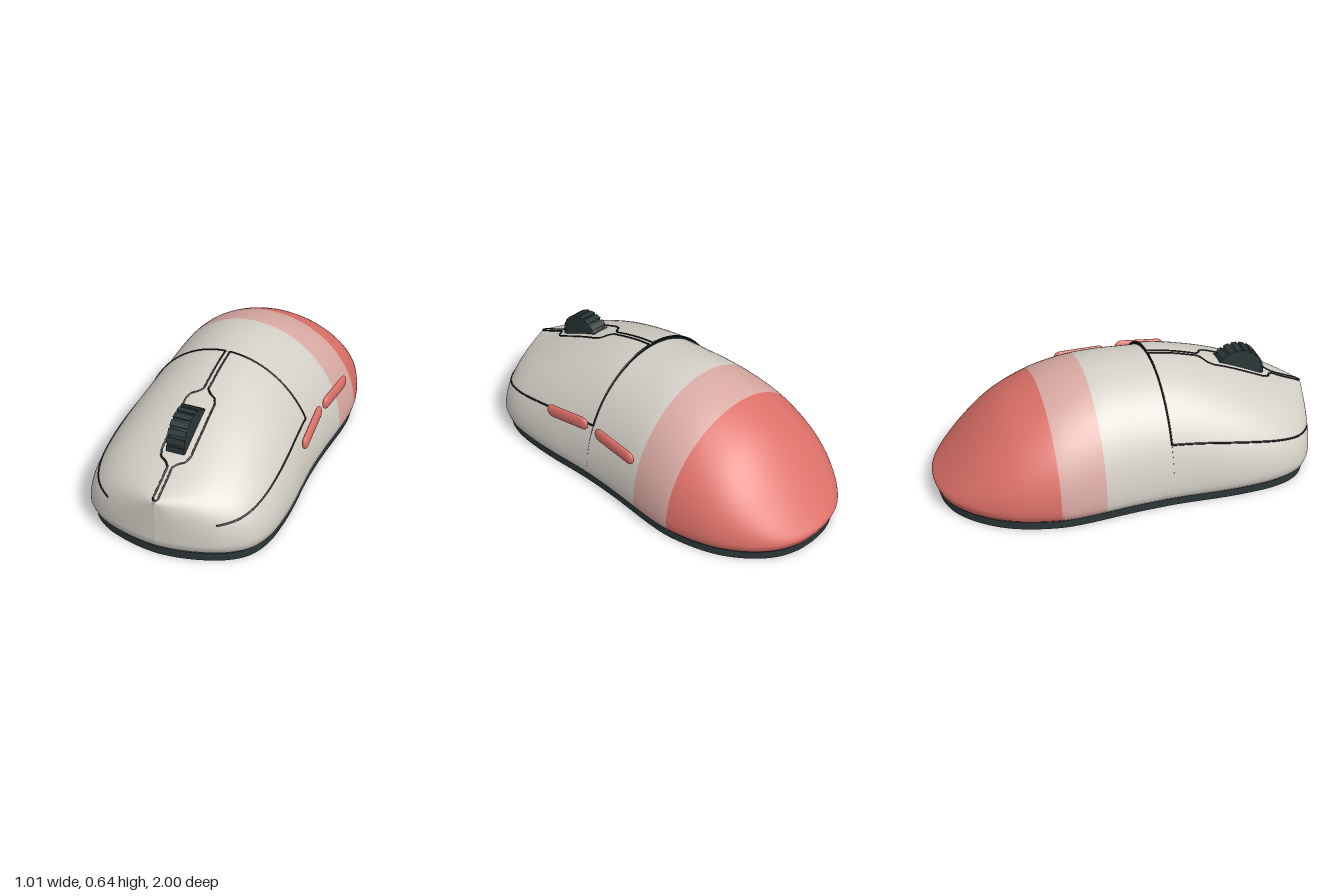
import * as THREE from 'three';

const mat = (name, color, side = THREE.FrontSide) => {
  const m = new THREE.MeshStandardMaterial({ color, side });
  m.name = name;
  return m;
};

const CX = -0.0075;   // shell centre line
const YC = 0.09;      // height of the widest point
const SPLIT = 0.13;   // where the raised button shell starts
const LIFT = 0.016;

// Stations along the length: [z, half width, top height]
const stations = [
  [-1, 0, 0.1], [-0.99, 0.1, 0.112], [-0.955, 0.2, 0.15], [-0.88, 0.3, 0.235],
  [-0.75, 0.4, 0.372], [-0.62, 0.456, 0.48], [-0.45, 0.493, 0.565], [-0.32, 0.495, 0.607],
  [-0.2, 0.487, 0.629], [-0.1, 0.48, 0.635], [0, 0.475, 0.631], [0.13, 0.473, 0.622],
  [0.25, 0.477, 0.602], [0.4, 0.486, 0.56], [0.55, 0.487, 0.507], [0.7, 0.474, 0.44],
  [0.8, 0.442, 0.392], [0.86, 0.4, 0.362], [0.92, 0.315, 0.336], [0.96, 0.21, 0.32],
  [0.985, 0.1, 0.308], [0.995, 0, 0.304]
];
const samples = new THREE.CatmullRomCurve3(stations.map(([z, w, h]) => new THREE.Vector3(w, h, z)))
  .getPoints(126);

// Half width and top height at any z
function at(z) {
  let i = 0;
  while (i < samples.length - 2 && samples[i + 1].z < z) i++;
  const a = samples[i], b = samples[i + 1];
  const t = THREE.MathUtils.clamp((z - a.z) / (b.z - a.z), 0, 1);
  return { z, w: Math.max(0, a.x + (b.x - a.x) * t), h: a.y + (b.y - a.y) * t };
}

// Cross-section: tucked lower edge, then a half ellipse from left to right
const COLS = 48;
function section({ z, w, h }, lift) {
  const pts = [[CX + w * 0.95, 0.04, z * 0.97], [CX + w * 0.985, 0.06, z * 0.99]];
  for (let j = 0; j <= COLS; j++) {
    const a = Math.PI * j / COLS;
    pts.push([CX + w * Math.cos(a), YC + (h + lift - YC) * Math.sin(a), z]);
  }
  pts.push([CX - w * 0.985, 0.06, z * 0.99], [CX - w * 0.95, 0.04, z * 0.97]);
  return pts;
}

// Skin between sections; pick(i) gives the material index of band i
function loft(sections, pick) {
  const n = sections[0].length, index = [], geo = new THREE.BufferGeometry();
  for (let i = 0; i < sections.length - 1; i++) {
    const start = index.length;
    for (let j = 0; j < n - 1; j++) {
      const a = i * n + j, c = a + n;
      index.push(a, a + 1, c, a + 1, c + 1, c);
    }
    if (pick) geo.addGroup(start, index.length - start, pick(i));
  }
  geo.setAttribute('position', new THREE.Float32BufferAttribute(sections.flat(2), 3));
  geo.setIndex(index);
  geo.computeVertexNormals();
  return geo;
}

// Sorted z values in a range, including its ends and any breaks
function zList(from, to, breaks = []) {
  const inner = samples.map(p => p.z).filter(z => z > from + 0.001 && z < to - 0.001 &&
    breaks.every(b => Math.abs(b - z) > 0.004));
  return [from, ...inner, ...breaks, to].sort((a, b) => a - b);
}

// Points on the button shell, from plan position or from side height
function onTop(x, z) {
  const { w, h } = at(z);
  const s = Math.sqrt(Math.max(0, 1 - (x / w) ** 2));
  return new THREE.Vector3(CX + x, YC + (h + LIFT - YC) * s, z);
}
function onSide(side, y, z) {
  const { w, h } = at(z);
  const s = (y - YC) / (h + LIFT - YC);
  return new THREE.Vector3(CX + side * w * Math.sqrt(Math.max(0, 1 - s * s)), y, z);
}

export function createModel() {
  const grey = mat('warm grey shell', 0xd3cfc6);
  const pink = mat('pale pink band', 0xd8a9a2);
  const coral = mat('coral', 0xdc7068);
  const dark = mat('dark base', 0x2b3738);
  const black = mat('black seam', 0x151a1b, THREE.DoubleSide);
  const group = new THREE.Group();
  const add = (name, geo, material, parent = group) => {
    const mesh = new THREE.Mesh(geo, material);
    mesh.name = name;
    parent.add(mesh);
    return mesh;
  };

  // Rear shell in three colour bands
  const rearZ = zList(-1, SPLIT, [-0.45, -0.22]);
  add('rearShell', loft(rearZ.map(z => section(at(z), 0)),
    i => rearZ[i] < -0.451 ? 0 : rearZ[i] < -0.221 ? 1 : 2), [coral, pink, grey]);

  // Raised front shell and the step behind it
  add('buttonShell', loft(zList(SPLIT, 0.995).map(z => section(at(z), LIFT))), grey);
  add('shellStep', loft([section(at(SPLIT), 0), section(at(SPLIT), LIFT)]), black);

  // Base plate following the plan outline
  const outline = [
    ...samples.map(p => new THREE.Vector2(CX + p.x * 0.957, -p.z * 0.976)),
    ...samples.slice(1, -1).reverse().map(p => new THREE.Vector2(CX - p.x * 0.957, -p.z * 0.976))
  ];
  const baseGeo = new THREE.ExtrudeGeometry(new THREE.Shape(outline), { depth: 0.042, bevelEnabled: false });
  add('basePlate', baseGeo.rotateX(-Math.PI / 2), dark);

  // Seams between the buttons and the shell
  const seam = (name, pts) => add(name, new THREE.TubeGeometry(
    new THREE.CatmullRomCurve3(pts), pts.length * 2, 0.0048, 6), black);
  const slot = [[0.012, 0.13], [0.012, 0.395], [0.03, 0.415], [0.062, 0.435], [0.075, 0.465],
    [0.077, 0.6], [0.075, 0.745], [0.062, 0.775], [0.03, 0.795], [0.012, 0.815], [0.012, 0.975], [0, 0.988]];
  const crease = new THREE.SplineCurve([[0.13, 0.345], [0.3, 0.327], [0.5, 0.297], [0.7, 0.26], [0.92, 0.215]]
    .map(p => new THREE.Vector2(...p)));
  for (const side of [1, -1]) {
    const label = side > 0 ? 'left' : 'right';
    const slotPts = [];
    slot.forEach(([x, z], k) => {
      if (k === 0) return slotPts.push(onTop(side * x, z));
      const [px, pz] = slot[k - 1], n = Math.max(2, Math.ceil((z - pz) / 0.03));
      for (let s = 1; s <= n; s++) {
        const t = s / n;
        slotPts.push(onTop(side * (px + (x - px) * t), pz + (z - pz) * t));
      }
    });
    seam(label + 'SlotSeam', slotPts);
    seam(label + 'SideSeam', crease.getPoints(40).map(p => onSide(side, p.y, p.x)));
    const { w, h } = at(SPLIT);
    const low = Math.asin((0.345 - YC) / (h + LIFT - YC)), high = Math.acos(0.012 / w);
    seam(label + 'RearSeam', Array.from({ length: 25 }, (_, k) => {
      const a = low + (high - low) * k / 24;
      return onTop(side * w * Math.cos(a), SPLIT);
    }));
  }

  // Scroll wheel with raised treads
  const wheel = new THREE.Group();
  wheel.name = 'scrollWheel';
  wheel.position.set(CX - 0.001, 0.452, 0.615);
  group.add(wheel);
  const rim = [[0, -0.046], [0.125, -0.046], [0.132, -0.04], [0.132, 0.04], [0.125, 0.046], [0, 0.046]]
    .map(p => new THREE.Vector2(...p));
  add('wheelCore', new THREE.LatheGeometry(rim, 40).rotateZ(Math.PI / 2), dark, wheel);
  for (let k = 0; k < 20; k++) {
    const tread = new THREE.BoxGeometry(0.092, 0.012, 0.03).translate(0, 0.132, 0);
    add('wheelTread', tread.rotateX(k * Math.PI / 10), dark, wheel);
  }

  // Thumb buttons on the left side
  for (const [name, z, tilt, yaw] of [['frontThumbButton', 0.24, 0.14, 0.06], ['rearThumbButton', -0.097, -0.04, -0.06]]) {
    const geo = new THREE.CapsuleGeometry(0.036, 0.212, 8, 20).rotateX(Math.PI / 2).scale(0.45, 1, 1);
    const button = add(name, geo, coral);
    button.position.set(0.483, 0.383, z);
    button.rotation.set(tilt, yaw, 0);
  }
  return group;
}
